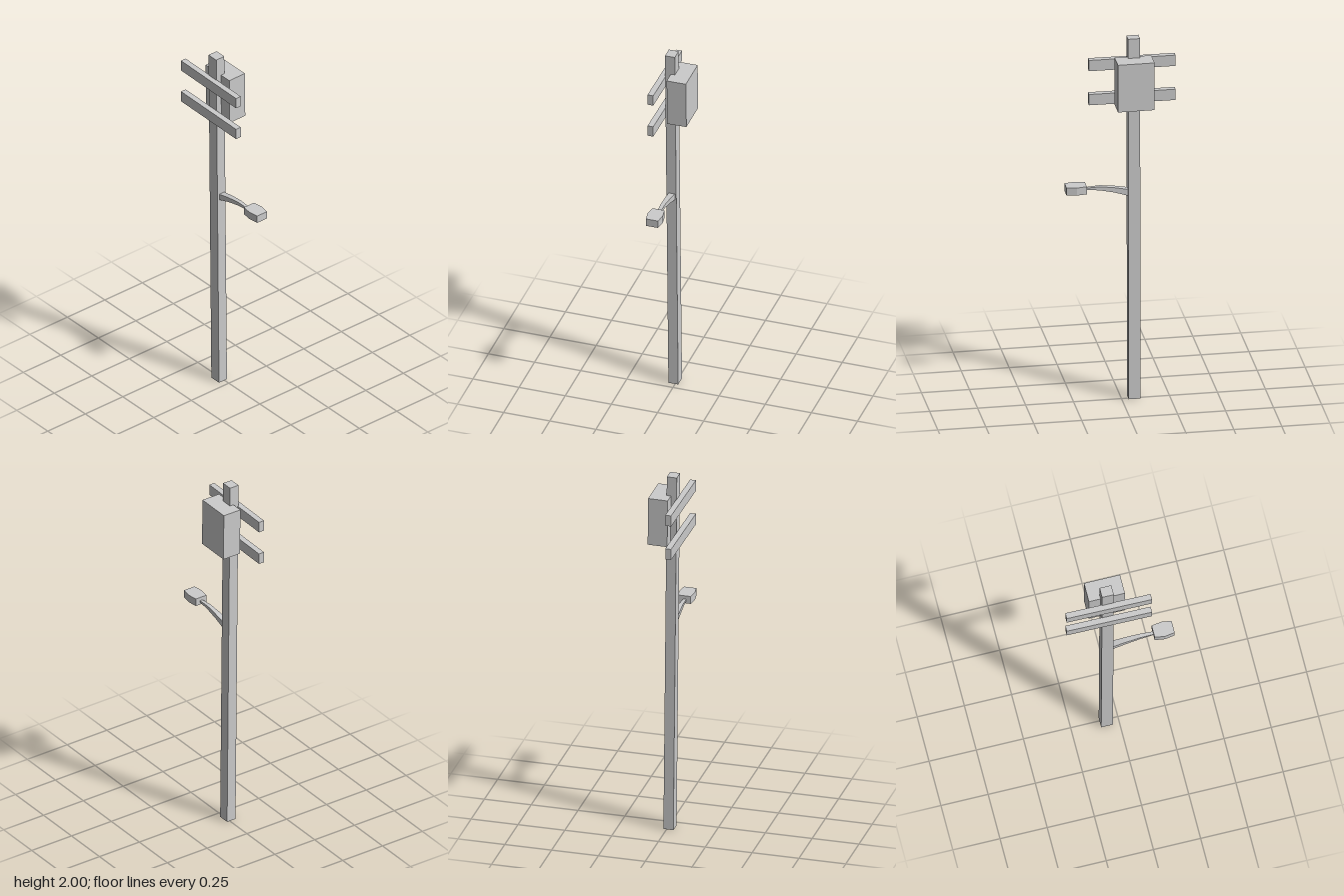
import * as THREE from 'three';

const material = new THREE.MeshStandardMaterial({ color: 0xcccccc, flatShading: true });

function addMesh(group, name, geometry) {
  const mesh = new THREE.Mesh(geometry, material);
  mesh.name = name;
  group.add(mesh);
  return mesh;
}

function addBox(group, name, size, position) {
  const mesh = addMesh(group, name, new THREE.BoxGeometry(...size));
  mesh.position.set(...position);
  return mesh;
}

// Closed tapering beam through rectangular sections [x, bottom, top, halfDepth]
function beamGeometry(sections, zCentre) {
  const positions = [];
  const index = [];
  for (const [x, bottom, top, half] of sections) {
    for (const [y, side] of [[bottom, 1], [bottom, -1], [top, -1], [top, 1]]) {
      positions.push(x, y, zCentre + side * half);
    }
  }
  for (let s = 0; s < sections.length - 1; s++) {
    for (let k = 0; k < 4; k++) {
      const a = s * 4 + k;
      const b = s * 4 + (k + 1) % 4;
      index.push(a, b, b + 4, a, b + 4, a + 4);
    }
  }
  const e = (sections.length - 1) * 4;
  index.push(0, 2, 1, 0, 3, 2, e, e + 1, e + 2, e, e + 2, e + 3);
  const geometry = new THREE.BufferGeometry();
  geometry.setAttribute('position', new THREE.Float32BufferAttribute(positions, 3));
  geometry.setIndex(index);
  const flat = geometry.toNonIndexed();
  flat.computeVertexNormals();
  return flat;
}

export function createModel() {
  const model = new THREE.Group();
  model.name = 'utilityPole';

  // Square pole with a slight forward lean
  const pole = addBox(model, 'pole', [0.062, 2, 0.053], [-0.066, 1, 0.019]);
  pole.rotation.x = 0.0092;

  // Two crossbars on the front, slightly out of square
  for (const [name, y] of [['upperCrossbar', 1.845], ['lowerCrossbar', 1.655]]) {
    const bar = addBox(model, name, [0.451, 0.06, 0.031], [-0.065, y, 0.066]);
    bar.rotation.y = -0.012;
  }

  // Transformer box on the back
  const box = addBox(model, 'transformerBox', [0.191, 0.262, 0.104], [-0.0635, 1.763, -0.03]);
  box.rotation.x = 0.01;

  // Curved lamp arm, thinning towards the lamp
  addMesh(model, 'lampArm', beamGeometry([
    [-0.036, 1.128, 1.163, 0.0165],
    [0.035, 1.15, 1.177, 0.014],
    [0.11, 1.166, 1.186, 0.011],
    [0.185, 1.173, 1.182, 0.008],
  ], 0.018));

  // Lamp head, widest in the middle
  addMesh(model, 'lampHead', beamGeometry([
    [0.183, 1.159, 1.201, 0.033],
    [0.236, 1.159, 1.201, 0.041],
    [0.289, 1.159, 1.201, 0.033],
  ], 0.017));

  return model;
}
